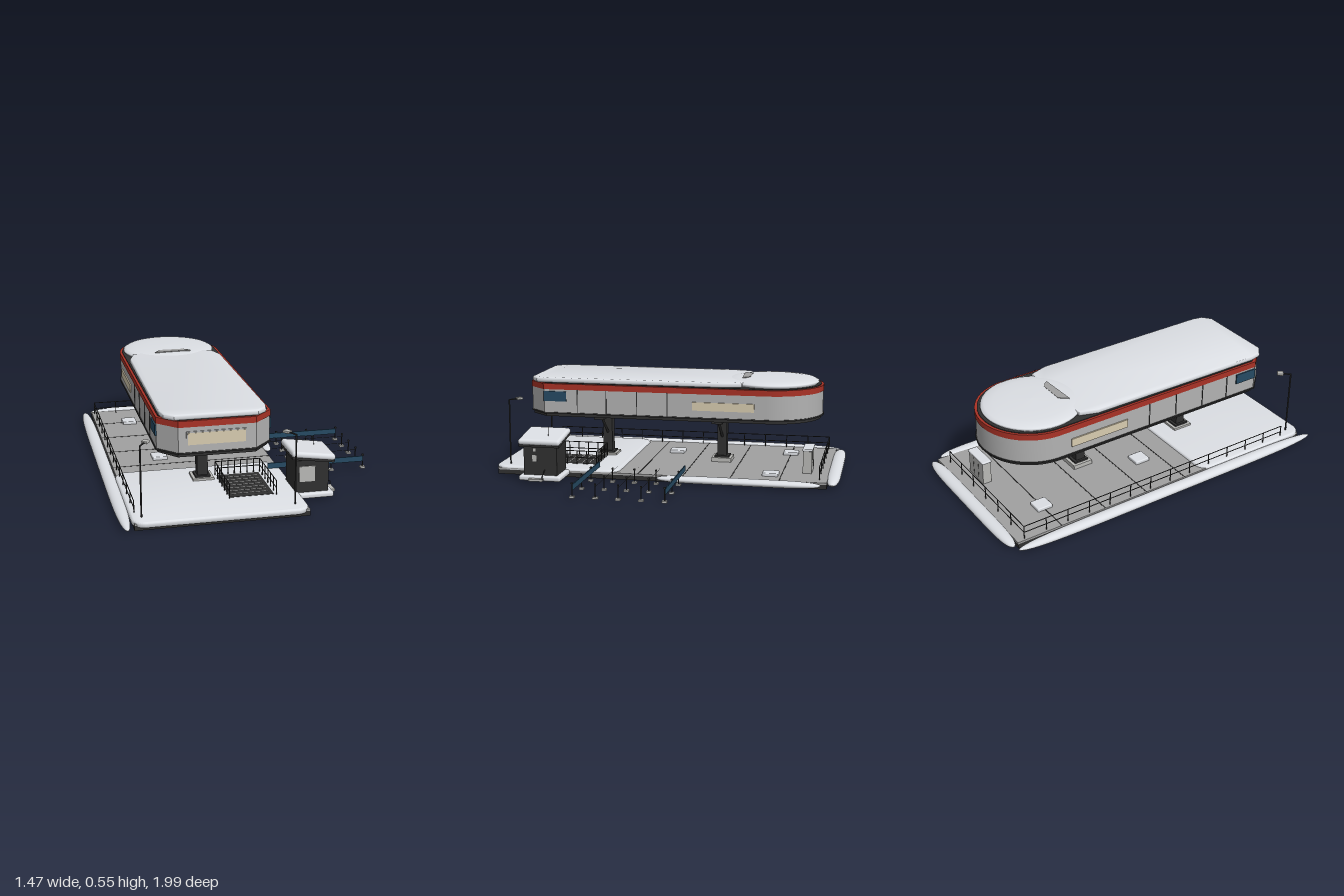
import * as THREE from 'three';
import { toCreasedNormals } from 'three/addons/utils/BufferGeometryUtils.js';
import { RoundedBoxGeometry } from 'three/addons/geometries/RoundedBoxGeometry.js';

const paint = (name, color) => Object.assign(new THREE.MeshStandardMaterial({ color }), { name });

export function createModel() {
  const snow = paint('snow', 0xdcdfe4), concrete = paint('concrete', 0xa0a0a0);
  const panel = paint('wall panel', 0xb2b2b2), dark = paint('dark steel', 0x303030);
  const red = paint('red trim', 0xa93226), cream = paint('lit window', 0xd8ccb0);
  const navy = paint('navy', 0x264a63), metal = paint('light metal', 0xb9b9b6);
  const root = new THREE.Group();
  root.name = 'elevatedStation';

  const add = (name, geo, mat, parent = root) => {
    const m = new THREE.Mesh(geo, mat);
    m.name = name;
    parent.add(m);
    return m;
  };
  // box from minimum and maximum corners
  const box = (name, mat, x0, x1, y0, y1, z0, z1, parent = root) => {
    const m = add(name, new THREE.BoxGeometry(x1 - x0, y1 - y0, z1 - z0), mat, parent);
    m.position.set((x0 + x1) / 2, (y0 + y1) / 2, (z0 + z1) / 2);
    return m;
  };
  // square or round bar between two points
  const bar = (name, mat, a, b, r, sides = 6, parent = root) => {
    const p = new THREE.Vector3(...a), q = new THREE.Vector3(...b), d = q.clone().sub(p);
    const m = add(name, new THREE.CylinderGeometry(r, r, d.length(), sides), mat, parent);
    m.position.copy(p).add(q).multiplyScalar(0.5);
    m.quaternion.setFromUnitVectors(new THREE.Vector3(0, 1, 0), d.normalize());
    return m;
  };
  // horizontal slab extruded upwards from a plan outline; optional soft edge
  const slab = (name, mat, shape, y0, y1, soft = 0) => {
    const geo = new THREE.ExtrudeGeometry(shape, {
      depth: y1 - y0 - soft * 2, curveSegments: 24, bevelEnabled: soft > 0,
      bevelSize: soft, bevelThickness: soft, bevelOffset: -soft, bevelSegments: 4,
    });
    geo.rotateX(-Math.PI / 2);
    geo.translate(0, y0 + soft, 0);
    return add(name, toCreasedNormals(geo, 0.6), mat);
  };
  const roundRect = (x0, x1, z0, z1, r) => {
    const s = new THREE.Shape();
    s.absarc(x1 - r, -z0 - r, r, 0, Math.PI / 2);
    s.absarc(x0 + r, -z0 - r, r, Math.PI / 2, Math.PI);
    s.absarc(x0 + r, -z1 + r, r, Math.PI, Math.PI * 1.5);
    s.absarc(x1 - r, -z1 + r, r, Math.PI * 1.5, Math.PI * 2);
    s.closePath();
    return s;
  };

  // Ground slab, paving and seams
  box('slabBase', dark, -0.66, 0.24, 0.03, 0.055, -0.93, 0.94);
  box('paving', concrete, -0.66, 0.24, 0.055, 0.066, -0.93, 0.94);
  for (const z of [-0.67, -0.4, -0.135, 0.12]) box('pavingSeam', dark, -0.66, 0.24, 0.066, 0.067, z - 0.003, z + 0.003);
  slab('frontSnow', snow, roundRect(-0.67, 0.24, 0.235, 0.96, 0.07), 0.045, 0.078, 0.012);

  // Ploughed snow banks: long blunt spindles
  const bank = (x, z, len, rx, ry, alongX) => {
    const pts = [];
    for (let i = 0; i <= 24; i++) {
      const t = -Math.cos((i / 24) * Math.PI);
      pts.push(new THREE.Vector2(Math.sqrt(Math.max(0, 1 - t ** 6)), t));
    }
    const m = add('snowBank', new THREE.LatheGeometry(pts, 20).rotateX(Math.PI / 2), snow);
    m.scale.set(rx, ry, len / 2);
    m.position.set(x, 0.054, z);
    if (alongX) m.rotation.y = Math.PI / 2;
  };
  bank(-0.7, 0.02, 1.94, 0.036, 0.023);
  bank(-0.21, -0.957, 0.91, 0.038, 0.023, true);
  bank(0.265, -0.445, 0.91, 0.038, 0.02);

  // Hall outline: round at the back, chamfered at the front
  const CX = -0.2125, W = 0.2975, BACK = -0.575;
  const hall = (inset) => {
    const w = W - inset, f = 0.81 - inset, s = new THREE.Shape();
    s.moveTo(CX - 0.2, -f);
    s.lineTo(CX + 0.2, -f);
    s.lineTo(CX + w, -(f - 0.1));
    s.lineTo(CX + w, -BACK);
    s.absarc(CX, -BACK, w, 0, Math.PI);
    s.lineTo(CX - w, -(f - 0.1));
    s.closePath();
    return s;
  };
  slab('hallFloor', dark, hall(0.012), 0.345, 0.362);
  slab('hallSill', dark, hall(-0.002), 0.362, 0.37);
  slab('hallWalls', panel, hall(0.003), 0.37, 0.503);
  slab('redBand', red, hall(0), 0.503, 0.536);
  slab('roofEdge', dark, hall(0.014), 0.536, 0.54);

  // Roof snow: long front sheet and a round rear cap
  const sheet = new THREE.Shape([
    [-0.43, -0.8], [0.0, -0.8], [0.05, -0.76], [0.062, -0.7], [0.056, 0.33], [0.025, 0.43],
    [-0.1, 0.45], [-0.33, 0.45], [-0.455, 0.43], [-0.487, 0.33], [-0.493, -0.7], [-0.48, -0.76],
  ].map(([x, y]) => new THREE.Vector2(x, y)));
  slab('roofSnow', snow, sheet, 0.536, 0.567, 0.012);
  const cap = [[0, 0.577], [0.12, 0.575], [0.2, 0.571], [0.25, 0.565], [0.268, 0.556], [0.27, 0.548], [0.262, 0.538], [0, 0.538]];
  add('rearRoofSnow', new THREE.LatheGeometry(cap.reverse().map((p) => new THREE.Vector2(...p)), 48), snow)
    .position.set(CX - 0.005, 0, BACK);
  const vent = new THREE.Shape();
  vent.moveTo(-0.325, 0.405);
  vent.lineTo(-0.11, 0.415);
  vent.quadraticCurveTo(-0.13, 0.455, -0.16, 0.455);
  vent.lineTo(-0.29, 0.455);
  slab('bareRoofPatch', concrete, vent, 0.568, 0.5765);

  // Windows and wall seams
  box('frontWindowFrame', panel, -0.372, -0.06, 0.403, 0.48, 0.806, 0.811);
  box('frontWindow', cream, -0.365, -0.067, 0.41, 0.473, 0.806, 0.813);
  for (const s of [-1, 1]) {
    const side = new THREE.Group();
    side.name = s > 0 ? 'leftWallDetails' : 'rightWallDetails';
    side.position.x = CX + s * W;
    root.add(side);
    box('sideWindow', cream, -0.004, 0.004, 0.41, 0.457, -0.51, -0.16, side);
    box('sideScreen', navy, -0.004, 0.004, 0.435, 0.492, 0.575, 0.708, side);
    for (const z of [0.51, 0.34, 0.16, -0.016]) box('wallSeam', dark, -0.004, 0.001, 0.37, 0.503, z - 0.002, z + 0.002, side)
      .position.x = -s * 0.002;
  }

  // Floor joists
  for (let i = 0; i < 17; i++) {
    const z = 0.7 - i * 0.065;
    bar('joist', dark, [CX - 0.22, 0.344, z], [CX + 0.22, 0.344, z], 0.009, 8);
  }

  // Columns with cross heads and braces
  for (const z of [0.4, -0.29]) {
    box('columnFoot', metal, CX - 0.058, CX + 0.058, 0.066, 0.09, z - 0.058, z + 0.058);
    box('columnPlinth', dark, CX - 0.042, CX + 0.042, 0.09, 0.1, z - 0.042, z + 0.042);
    box('column', dark, CX - 0.029, CX + 0.029, 0.09, 0.345, z - 0.027, z + 0.027);
    box('crossHead', dark, CX - 0.225, CX + 0.225, 0.322, 0.347, z - 0.03, z + 0.03);
    for (const s of [-1, 1]) bar('brace', dark, [CX + s * 0.02, 0.21, z], [CX + s * 0.165, 0.325, z], 0.008);
  }

  // Railings along a straight run
  const railing = (a, b, y0, y1, posts, r = 0.0025) => {
    for (const k of [0.5, 1]) {
      const y = y0 + (y1 - y0) * k;
      bar('rail', dark, [a[0], y, a[1]], [b[0], y, b[1]], r);
    }
    for (let i = 0; i <= posts; i++) {
      const t = i / posts, x = a[0] + (b[0] - a[0]) * t, z = a[1] + (b[1] - a[1]) * t;
      bar('railPost', dark, [x, y0, z], [x, y1, z], r * 1.2);
    }
  };
  railing([-0.645, -0.885], [-0.645, 0.82], 0.066, 0.14, 13);
  railing([-0.645, -0.885], [0.17, -0.885], 0.066, 0.14, 6);

  // Stairwell with steps and guard rails
  box('stairPit', dark, -0.13, 0.105, 0.07, 0.0795, 0.4, 0.73);
  for (let i = 0; i < 7; i++) box('stairTread', concrete, -0.11, 0.085, 0.079, 0.081, 0.44 + i * 0.04, 0.446 + i * 0.04);
  railing([-0.135, 0.39], [0.115, 0.39], 0.078, 0.155, 7);
  railing([0.115, 0.39], [0.115, 0.74], 0.078, 0.155, 6);
  railing([-0.135, 0.39], [-0.135, 0.74], 0.078, 0.155, 6);

  // Cabinet and ground hatches
  box('cabinet', metal, -0.115, 0.038, 0.066, 0.193, -0.832, -0.782);
  add('cabinetSnow', new RoundedBoxGeometry(0.168, 0.014, 0.058, 3, 0.006), snow).position.set(-0.0385, 0.199, -0.807);
  for (const x of [-0.065, -0.012]) for (const z of [-0.832, -0.782]) box('cabinetSeam', dark, x - 0.001, x + 0.001, 0.075, 0.185, z - 0.001, z + 0.001);
  for (const [x, z] of [[0.107, -0.61], [-0.455, -0.67], [-0.38, 0.01]]) {
    add('hatch', new RoundedBoxGeometry(0.085, 0.022, 0.09, 2, 0.006), snow).position.set(x, 0.073, z);
  }

  // Lamp posts, heads turned inwards
  for (const [x, s] of [[-0.617, 1], [0.175, -1]]) {
    const z = 0.885, hx = x + s * 0.035, hz = z - 0.048;
    bar('lampPost', dark, [x, 0.066, z], [x, 0.452, z], 0.0045, 8);
    bar('lampArm', dark, [x, 0.45, z], [hx, 0.454, hz], 0.004);
    const head = add('lampHead', new RoundedBoxGeometry(0.034, 0.014, 0.036, 2, 0.004), metal);
    head.position.set(hx, 0.454, hz);
    head.rotation.y = -s * 0.65;
  }

  // Ticket kiosk
  add('kioskSnowBase', new RoundedBoxGeometry(0.23, 0.03, 0.24, 3, 0.012), snow).position.set(0.312, 0.058, 0.635);
  box('kioskBody', dark, 0.222, 0.4, 0.07, 0.25, 0.54, 0.73);
  box('kioskFrontWindow', metal, 0.24, 0.325, 0.133, 0.218, 0.727, 0.734);
  box('kioskSideWindow', metal, 0.397, 0.403, 0.15, 0.185, 0.655, 0.68);
  box('kioskSideSign', metal, 0.397, 0.403, 0.205, 0.222, 0.66, 0.675);
  const roof = new THREE.Group();
  roof.name = 'kioskRoof';
  roof.position.set(0.312, 0.262, 0.635);
  roof.rotation.z = -0.14;
  root.add(roof);
  box('kioskRoofPanel', dark, -0.115, 0.115, -0.012, 0.002, -0.115, 0.115, roof);
  add('kioskRoofSnow', new RoundedBoxGeometry(0.238, 0.034, 0.24, 5, 0.016), snow, roof).position.y = 0.014;
  bar('antenna', dark, [0.355, 0.26, 0.6], [0.355, 0.34, 0.6], 0.0015);
  box('kioskStep', metal, 0.4, 0.452, 0.048, 0.06, 0.61, 0.69);
  bar('stepRail', dark, [0.4, 0.105, 0.61], [0.45, 0.075, 0.61], 0.0025);
  bar('stepRailPost', dark, [0.45, 0.055, 0.61], [0.45, 0.075, 0.61], 0.0025);

  // Queue lanes: posts, ropes and outer banners
  const lanes = [-0.135, -0.01, 0.112, 0.235, 0.36];
  for (const z of lanes) {
    const outer = z === lanes[0] || z === lanes[4];
    for (const x of [0.352, 0.536, 0.72]) {
      box('queueFoot', metal, x - 0.013, x + 0.013, 0.04, 0.05, z - 0.013, z + 0.013);
      bar('queuePost', dark, [x, 0.05, z], [x, 0.118, z], 0.003);
      box('queuePostCap', dark, x - 0.005, x + 0.005, 0.114, 0.122, z - 0.005, z + 0.005);
    }
    if (outer) box('queueBanner', navy, 0.168, 0.72, 0.08, 0.111, z - 0.003, z + 0.003);
    else bar('queueRope', dark, [0.25, 0.105, z], [0.72, 0.105, z], 0.0012, 4);
  }
  return root;
}
